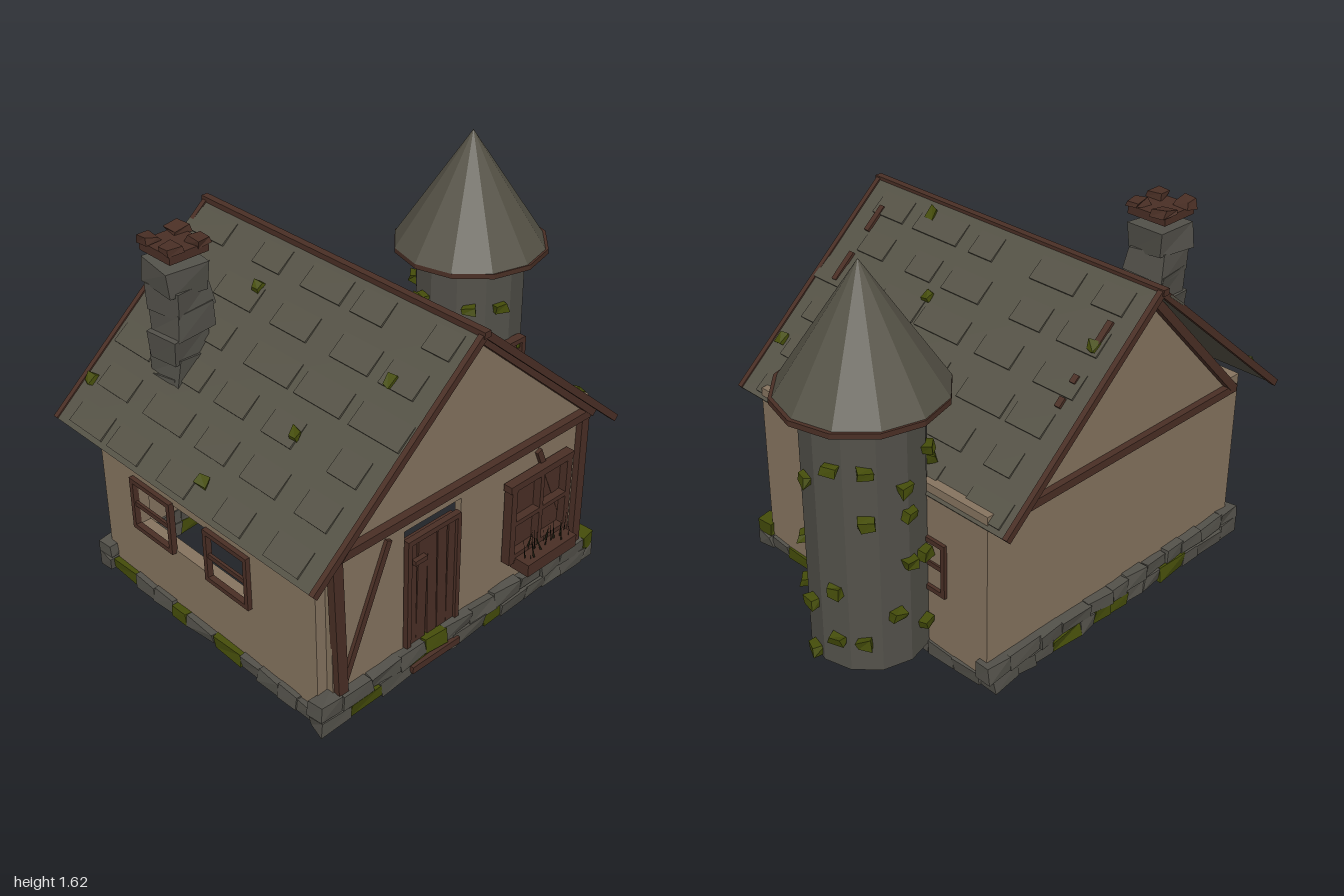
import * as THREE from 'three';

const paint = (name, color, extra = {}) =>
  new THREE.MeshStandardMaterial({ name, color, flatShading: true, ...extra });

export function createModel() {
  const model = new THREE.Group();
  model.name = 'cottage';
  const both = { side: THREE.DoubleSide };
  const plaster = paint('plaster', 0x86745f);
  const wood = paint('dark wood', 0x4a2f25);
  const tiles = paint('roof tiles', 0x55524600 >>> 8, both);
  const stone = paint('stone', 0x53514a, both);
  const moss = paint('moss', 0x454d0a);
  const grass = paint('dry grass', 0x1a190d, both);

  let seed = 7;
  const rnd = (a = 0, b = 1) => {
    seed = (seed * 16807) % 2147483647;
    return a + (b - a) * (seed / 2147483647);
  };
  const add = (name, geo, mat, x = 0, y = 0, z = 0, parent = model) => {
    const m = new THREE.Mesh(geo, mat);
    m.name = name;
    m.position.set(x, y, z);
    parent.add(m);
    return m;
  };
  const box = (name, mat, x, y, z, w, h, d, parent) =>
    add(name, new THREE.BoxGeometry(w, h, d), mat, x, y, z, parent);
  // Box stretched between two points
  const bar = (name, mat, a, b, w, d) => {
    const p = new THREE.Vector3(...a), q = new THREE.Vector3(...b);
    const dir = q.clone().sub(p);
    const m = box(name, mat, 0, 0, 0, w, dir.length(), d);
    m.position.copy(p).add(q).multiplyScalar(0.5);
    m.quaternion.setFromUnitVectors(new THREE.Vector3(0, 1, 0), dir.normalize());
    return m;
  };
  // Box with every corner nudged
  const rough = (w, h, d, k) => {
    const geo = new THREE.BoxGeometry(w, h, d), p = geo.attributes.position, moved = {};
    for (let i = 0; i < p.count; i++) {
      const key = [p.getX(i) > 0, p.getY(i) > 0, p.getZ(i) > 0].join();
      moved[key] ??= [rnd(-k, k), rnd(-k, k), rnd(-k, k)];
      const o = moved[key];
      p.setXYZ(i, p.getX(i) + o[0], p.getY(i) + o[1], p.getZ(i) + o[2]);
    }
    geo.computeVertexNormals();
    return geo;
  };
  const path = (Type, pts) => new Type(pts.map(([x, y]) => new THREE.Vector2(x, y)));
  const rect = (x0, x1, y0, y1) => [[x0, y0], [x1, y0], [x1, y1], [x0, y1]];
  const slab = (pts, depth, hole) => {
    const s = path(THREE.Shape, pts);
    if (hole) s.holes.push(path(THREE.Path, hole));
    return new THREE.ExtrudeGeometry(s, { depth, bevelEnabled: false });
  };

  // Walls: gabled ends and two long sides
  const gable = [[-0.83, 0.05], [0.51, 0.05], [0.51, 0.74], [-0.21, 1.385], [-0.83, 0.74]];
  add('frontWall', slab(gable, 0.03, rect(-0.48, -0.19, 0.1, 0.665)), plaster, 0, 0, 0.61);
  add('backWall', slab(gable, 0.03), plaster, 0, 0, -0.645);
  const side = rect(-0.645, 0.61, 0.05, 0.775);
  add('leftWall', slab(side, 0.05).rotateY(-Math.PI / 2), plaster, 0.555);
  add('rightWall', slab(side, 0.05, rect(-0.42, 0.24, 0.33, 0.54)).rotateY(-Math.PI / 2),
    plaster, -0.825);

  // Timber frame on both ends
  for (const s of [1, -1]) {
    const z = s * 0.655;
    bar('tieBeam', wood, [-0.83, 0.74, z], [0.5, 0.74, z], 0.035, 0.035);
    bar('gableBeam', wood, [-0.82, 0.735, z], [-0.21, 1.385, z], 0.035, 0.04);
    bar('gableBeam', wood, [0.52, 0.735, z], [-0.21, 1.385, z], 0.035, 0.04);
  }
  bar('cornerPost', wood, [-0.8, 0.1, 0.65], [-0.82, 0.74, 0.65], 0.045, 0.035);
  bar('cornerPost', wood, [0.476, 0.1, 0.65], [0.476, 0.74, 0.65], 0.042, 0.035);
  bar('brace', wood, [-0.795, 0.13, 0.645], [-0.565, 0.68, 0.645], 0.026, 0.02);
  bar('brace', wood, [0.46, 0.13, 0.645], [0.225, 0.68, 0.645], 0.026, 0.02);

  // Roof slopes with bargeboards, loose tiles and ridge
  const ridge = [-0.21, 1.4];
  const slopes = [[-0.995, 0.725], [0.56, 0.725]];
  slopes.forEach((eave, i) => {
    bar('roofSlope', tiles, [...ridge, 0], [...eave, 0], 0.016, 1.48);
    for (const z of [0.738, -0.738])
      bar('bargeboard', wood, [...ridge, z], [...eave, z], 0.028, 0.022);
    const dx = eave[0] - ridge[0], dy = eave[1] - ridge[1], len = Math.hypot(dx, dy);
    const n = [Math.abs(dy) / len * Math.sign(dx), Math.abs(dx) / len];
    const at = (t, z, up) => [ridge[0] + dx * t + n[0] * up, ridge[1] + dy * t + n[1] * up, z];
    for (let k = 0; k < 30; k++) {
      const t = 0.04 + 0.84 * (k % 6) / 5, z = -0.58 + 0.29 * Math.floor(k / 6) + rnd(-0.05, 0.05);
      bar('tile', tiles, at(t, z, 0.007), at(t + 0.1, z, 0.012), 0.008, rnd(0.12, 0.25));
    }
    // Moss as [x, z]
    const spots = i
      ? [[0, -0.62], [0.29, -0.08], [0.065, 0.155], [-0.17, 0.38], [0.37, 0.685]]
      : [[-0.845, -0.695], [-0.375, -0.23], [-0.91, 0.08], [-0.675, 0.31], [-0.435, 0.53]];
    for (const [x, z] of spots) {
      const m = add('roofMoss', rough(0.045, 0.02, 0.04, 0.008), moss,
        ...at((x - ridge[0]) / dx, z, 0.014));
      m.rotation.z = Math.atan2(-n[0], n[1]);
    }
    // Rafters showing through the tiles as [x0, x1, z]
    if (i) for (const [x0, x1, z] of [[-0.13, -0.04, 0.625], [0.04, 0.14, 0.625],
      [-0.08, 0.01, -0.63], [0.09, 0.115, -0.63], [0.16, 0.19, -0.63]])
      bar('bareRafter', wood, at((x0 - ridge[0]) / dx, z, 0.014),
        at((x1 - ridge[0]) / dx, z, 0.014), 0.012, 0.025);
  });
  box('ridgeBeam', wood, -0.215, 1.403, 0, 0.03, 0.025, 1.51);

  // Chimney of crooked blocks with a raised cap
  for (let i = 0; i < 6; i++) {
    const m = add('chimneyBlock', rough(0.175, 0.105, 0.175, 0.012), stone,
      -0.655 + 0.004 * i + rnd(-0.01, 0.01), 0.91 + i * 0.092, -0.378);
    m.rotation.set(rnd(-0.08, 0.08), rnd(-0.12, 0.12), rnd(-0.08, 0.08));
  }
  box('chimneyCap', wood, -0.645, 1.473, -0.376, 0.175, 0.035, 0.18);
  for (const sx of [-1, 1]) for (const sz of [-1, 1])
    add('capCorner', rough(0.065, 0.025, 0.065, 0.01), wood,
      -0.645 + sx * 0.065, 1.5, -0.376 + sz * 0.065);

  // Stone footing: two courses at the ends, one along the sides
  const row = (from, to, place) => {
    for (let a = from; a < to - 0.03;) {
      const w = Math.min(rnd(0.08, 0.17), to - a);
      place(a + w / 2, w, rnd() < 0.17 ? moss : stone);
      a += w;
    }
  };
  for (const z of [0.64, -0.645]) for (const y of [0.04, 0.1])
    row(-0.915, 0.575, (x, w, m) =>
      add('footingStone', rough(w, 0.06, 0.075, 0.009), m, x, y, z));
  for (const x of [-0.865, 0.53])
    row(-0.61, 0.61, (z, w, m) =>
      add('footingStone', rough(0.07, 0.055, w, 0.007), m, x, 0.038, z));
  box('doorstep', wood, -0.35, 0.045, 0.67, 0.25, 0.03, 0.04);

  // Plank door
  for (let i = 0; i < 5; i++) {
    const m = box('doorPlank', wood, -0.443 + i * 0.052, 0.365, 0.635, 0.047, 0.49, 0.02);
    m.rotation.z = rnd(-0.02, 0.02);
  }
  box('doorBacking', wood, -0.34, 0.365, 0.618, 0.25, 0.49, 0.012);
  box('doorLintel', wood, -0.34, 0.61, 0.645, 0.27, 0.022, 0.025);
  for (const x of [-0.465, -0.212]) box('doorJamb', wood, x, 0.365, 0.645, 0.02, 0.5, 0.025);
  box('doorHandle', wood, -0.415, 0.515, 0.655, 0.06, 0.02, 0.02);

  // Front window with flower box
  box('windowPane', wood, 0.215, 0.435, 0.647, 0.33, 0.35, 0.012);
  for (const x of [0.057, 0.215, 0.373])
    box('windowUpright', wood, x, 0.43, 0.667, x === 0.215 ? 0.02 : 0.03, 0.36, 0.04);
  for (const [y, w, h] of [[0.605, 0.36, 0.03], [0.435, 0.33, 0.02], [0.275, 0.34, 0.03]])
    box('windowRail', wood, 0.215, y, 0.667, w, h, 0.04);
  box('flowerBox', wood, 0.22, 0.243, 0.71, 0.285, 0.055, 0.09);
  for (let i = 0; i < 18; i++) {
    const x = 0.1 + i * 0.0145, h = rnd(0.06, 0.13), lean = rnd(-0.03, 0.03);
    const blade = path(THREE.Shape, [[0, 0], [0.01, 0], [lean, h]]);
    const m = add('grassBlade', new THREE.ShapeGeometry(blade), grass, x, 0.265, rnd(0.68, 0.74));
    m.rotation.y = rnd(-0.8, 0.8);
  }

  // Side window frames, in z and y
  const frame = (x, z0, z1, y0, y1) => {
    const zc = (z0 + z1) / 2, yc = (y0 + y1) / 2;
    for (const z of [z0, z1]) box('sideFrame', wood, x, yc, z, 0.025, y1 - y0 + 0.02, 0.02);
    for (const y of [y0, yc, y1])
      box('sideFrame', wood, x, y, zc, y === yc ? 0.012 : 0.025, 0.02, z1 - z0);
  };
  frame(0.557, -0.43, 0.25, 0.325, 0.54);
  frame(-0.882, -0.43, -0.2, 0.325, 0.54);
  frame(-0.882, 0.02, 0.25, 0.325, 0.54);

  // Round tower
  const tx = 0.672, tz = -0.142;
  add('towerWall', new THREE.CylinderGeometry(0.23, 0.23, 1.075, 12, 1, true), stone, tx, 0.593, tz);
  add('towerBrim', new THREE.CylinderGeometry(0.325, 0.325, 0.022, 12), wood, tx, 1.125, tz);
  const cone = new THREE.ConeGeometry(0.318, 0.485, 12);
  add('towerRoof', cone, tiles, tx - 0.008, 1.378, tz);
  box('towerWindow', wood, tx, 0.648, 0.09, 0.12, 0.19, 0.02);
  for (const s of [-1, 1]) {
    box('towerWindowSide', wood, tx + s * 0.062, 0.65, 0.103, 0.022, 0.21, 0.04);
    box('towerWindowRail', wood, tx, 0.65 + s * 0.095, 0.103, 0.14, 0.022, 0.04);
    box('towerWindowBar', wood, tx + s * 0.02, 0.65, 0.103, 0.012, 0.18, 0.02);
  }

  // Moss clumps on the tower as [height, angles in degrees]
  const clumps = [[0.93, [137, 104, -20, -50, 190, -120]], [0.83, [14, 215, -85]],
    [0.72, [109, 75, -50, -90, 225]], [0.505, [76, 45, -90, 200, 250]],
    [0.41, [-18, 175]], [0.3, [47, 13, 230, -75]], [0.19, [107, -18, -44, -110]],
    [0.085, [13, 195]]];
  for (const [y, angles] of clumps) for (const deg of angles) {
    const a = THREE.MathUtils.degToRad(deg);
    const m = add('towerMoss', rough(0.055, 0.035, 0.04, 0.008), moss,
      tx + 0.237 * Math.cos(a), y, tz + 0.237 * Math.sin(a));
    m.rotation.y = Math.PI / 2 - a;
  }
  return model;
}
